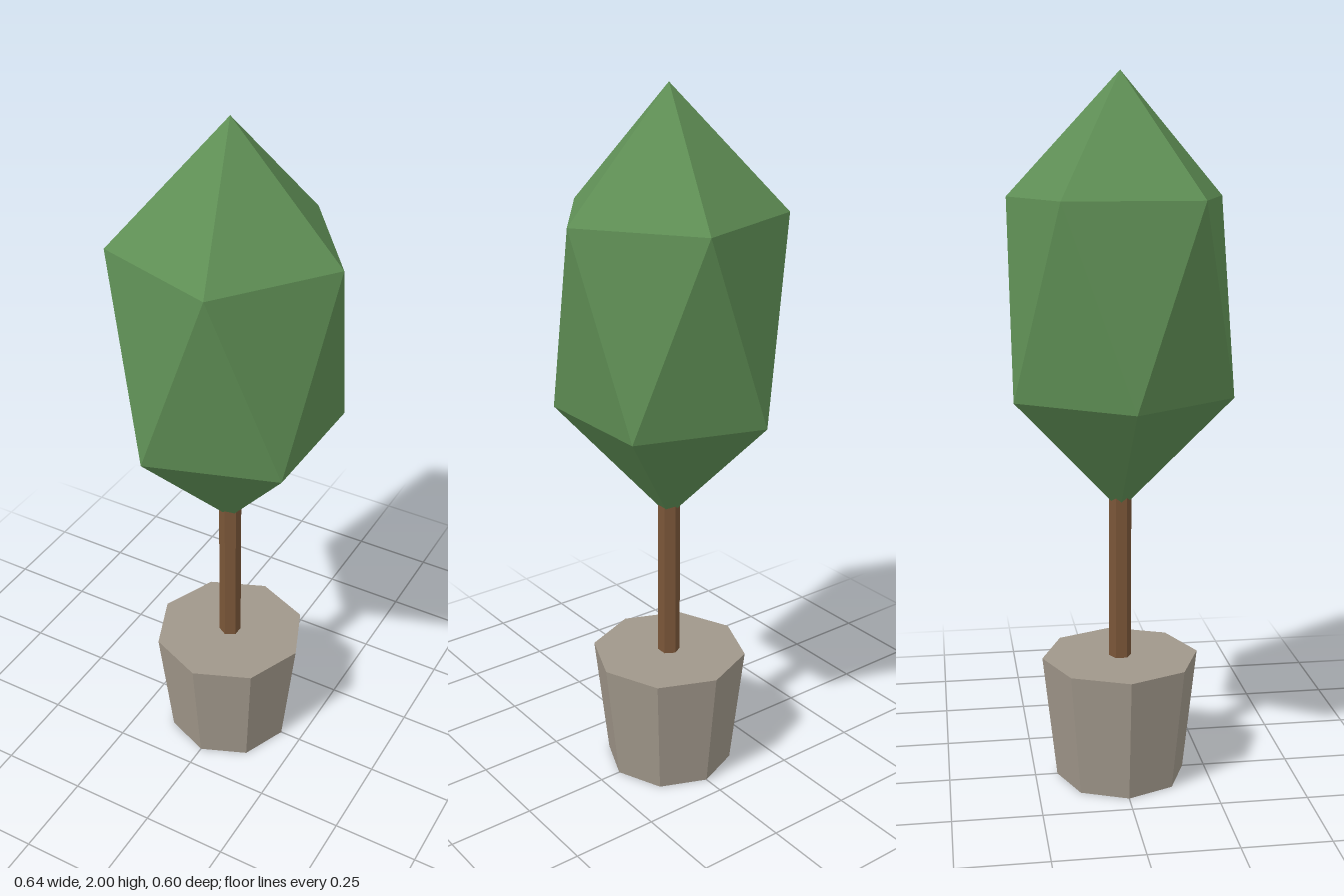
import * as THREE from 'three';

function part(name, geometry, color, y) {
  const mesh = new THREE.Mesh(geometry, new THREE.MeshStandardMaterial({ color, flatShading: true }));
  mesh.name = name;
  mesh.position.y = y;
  return mesh;
}

// Icosahedron standing on a pole: two poles and two staggered rings of five
function crownGeometry(radius, halfHeight, ringHeight) {
  const ring = (i, y, offset) => {
    const a = (i + offset) * Math.PI * 2 / 5;
    return [radius * Math.cos(a), y, radius * Math.sin(a)];
  };
  const top = [0, halfHeight, 0], bottom = [0, -halfHeight, 0];
  const positions = [];
  for (let i = 0; i < 5; i++) {
    const u0 = ring(i, ringHeight, 0), u1 = ring(i + 1, ringHeight, 0);
    const l0 = ring(i, -ringHeight, 0.5), l1 = ring(i + 1, -ringHeight, 0.5);
    positions.push(
      ...top, ...u1, ...u0,
      ...u0, ...u1, ...l0,
      ...u1, ...l1, ...l0,
      ...l0, ...l1, ...bottom
    );
  }
  const geometry = new THREE.BufferGeometry();
  geometry.setAttribute('position', new THREE.Float32BufferAttribute(positions, 3));
  geometry.computeVertexNormals();
  return geometry;
}

export function createModel() {
  const tree = new THREE.Group();
  tree.name = 'pottedTree';
  tree.add(
    // Tapered octagonal pot, closed on top
    part('pot', new THREE.CylinderGeometry(0.226, 0.186, 0.36, 8), 0xa0978a, 0.18),
    // Six-sided trunk running from the pot into the crown
    part('trunk', new THREE.CylinderGeometry(0.032, 0.032, 0.52, 6), 0x7a5638, 0.61),
    // Faceted crown
    part('crown', crownGeometry(0.318, 0.603, 0.27), 0x5f8f55, 1.397)
  );
  return tree;
}
